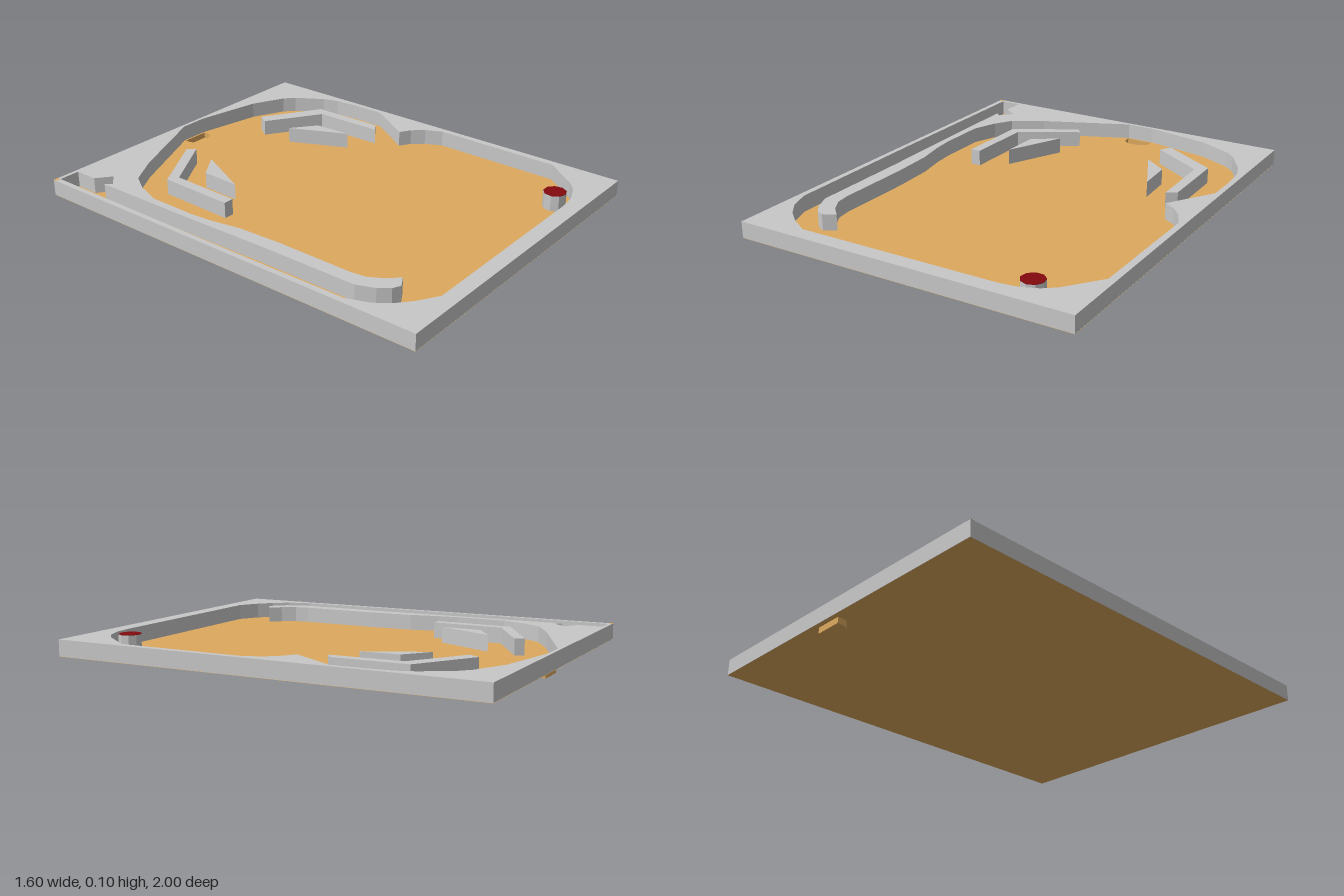
import * as THREE from 'three';

const FLOOR = 0.028, TOP = 0.103;

// Flat [x, z, x, z, ...] list to plan points (shape y is -z)
function plan(list) {
  const pts = [];
  for (let i = 0; i < list.length; i += 2) pts.push(new THREE.Vector2(list[i], -list[i + 1]));
  return pts;
}

// Upright prism standing on the floor
function prism(shape, y0, y1) {
  const g = new THREE.ExtrudeGeometry(shape, { depth: y1 - y0, bevelEnabled: false });
  return g.rotateX(-Math.PI / 2).translate(0, y0, 0);
}

// Horizontal sheet
function sheet(shape, y) {
  return new THREE.ShapeGeometry(shape).rotateX(-Math.PI / 2).translate(0, y, 0);
}

// Open vertical band following a closed outline
function band(pts, y0, y1) {
  const v = [];
  pts.forEach((a, i) => {
    const b = pts[(i + 1) % pts.length];
    v.push(a.x, y0, -a.y, b.x, y0, -b.y, b.x, y1, -b.y);
    v.push(a.x, y0, -a.y, b.x, y1, -b.y, a.x, y1, -a.y);
  });
  const g = new THREE.BufferGeometry();
  g.setAttribute('position', new THREE.Float32BufferAttribute(v, 3));
  g.computeVertexNormals();
  return g;
}

// Outer edge of the table, clockwise from above
const outer = [-0.8, -0.99, 0.78, -1, 0.796, 0.985, -0.785, 1];

// Playing area: side lane, lane divider and main field in one opening
const field = [
  -0.775, -0.973, -0.675, -0.973, -0.675, -0.862, -0.606, -0.81, -0.659, -0.751, -0.685, -0.778,
  -0.675, -0.238, -0.664, 0.13, -0.659, 0.624, -0.627, 0.704, -0.59, 0.751, -0.553, 0.767,
  -0.5, 0.735, -0.548, 0.688, -0.585, 0.624, -0.595, 0.556, -0.595, 0.185, -0.606, -0.026,
  -0.632, -0.159, -0.643, -0.265, -0.643, -0.503, -0.6, -0.624, -0.548, -0.709, -0.405, -0.794,
  0, -0.979, 0.13, -0.979, 0.44, -0.921, 0.595, -0.847, 0.643, -0.804, 0.722, -0.677,
  0.749, -0.598, 0.759, -0.476, 0.759, -0.328, 0.622, -0.106, 0.675, -0.074, 0.722, -0.021,
  0.759, 0.058, 0.759, 0.672, 0.638, 0.831, 0.585, 0.873, 0.505, 0.905, 0.426, 0.915,
  -0.516, 0.926, -0.606, 0.873, -0.669, 0.82, -0.722, 0.751, -0.759, 0.651, -0.77, -0.13,
];

const pocket = [0, -0.973, 0.13, -0.973, 0.13, -0.94, 0.114, -0.92, 0.082, -0.907,
  0.034, -0.907, 0.008, -0.926, 0, -0.947];

const obstacles = {
  leftGuide: [0.336, -0.767, 0.606, -0.598, 0.614, -0.249, 0.569, -0.217, 0.558, -0.55, 0.304, -0.714],
  rightGuide: [-0.183, -0.772, -0.156, -0.735, -0.426, -0.571, -0.431, -0.233, -0.479, -0.233, -0.474, -0.598],
  leftWedge: [0.315, -0.561, 0.431, -0.471, 0.442, -0.291],
  rightWedge: [-0.193, -0.598, -0.315, -0.513, -0.32, -0.323],
};

const cornerMark = [-0.8, -0.99, -0.777, -0.99, -0.777, -0.973, -0.8, -0.973];

export function createModel() {
  const group = new THREE.Group();
  group.name = 'ballTable';
  const grey = new THREE.MeshStandardMaterial({ name: 'grey', color: 0xc8c8c8 });
  const wood = new THREE.MeshStandardMaterial({ name: 'wood', color: 0xdda95e, side: THREE.DoubleSide });
  const red = new THREE.MeshStandardMaterial({ name: 'darkRed', color: 0x820a0e });

  const add = (name, geometry, material) => {
    const mesh = new THREE.Mesh(geometry, material);
    mesh.name = name;
    group.add(mesh);
  };

  // Floor with the pocket opening
  const floor = new THREE.Shape(plan(outer));
  floor.holes.push(new THREE.Path(plan(pocket)));
  add('floor', sheet(floor, FLOOR), wood);

  // Pocket sunk below the floor
  add('pocketWall', band(plan(pocket), 0, FLOOR), wood);
  add('pocketBottom', sheet(new THREE.Shape(plan(pocket)), 0), wood);

  // Raised rim; the opening runs the other way round so its walls face inward
  const frame = new THREE.Shape(plan(outer));
  frame.holes.push(new THREE.Path(plan(field).reverse()));
  add('rim', prism(frame, FLOOR + 0.001, TOP), grey);

  // Small wooden mark on the back corner of the rim
  add('cornerMark', sheet(new THREE.Shape(plan(cornerMark)), TOP + 0.001), wood);

  // Free-standing guides and wedges
  for (const [name, list] of Object.entries(obstacles)) {
    add(name, prism(new THREE.Shape(plan(list)), FLOOR + 0.001, TOP), grey);
  }

  // Round post with a red cap
  const post = (y0, y1) => {
    const g = new THREE.CylinderGeometry(0.052, 0.052, y1 - y0, 9).toNonIndexed();
    g.translate(0.522, (y0 + y1) / 2, 0.818).computeVertexNormals();
    return g;
  };
  add('post', post(FLOOR + 0.001, TOP - 0.001), grey);
  add('postCap', post(TOP - 0.001, TOP + 0.001), red);

  return group;
}
